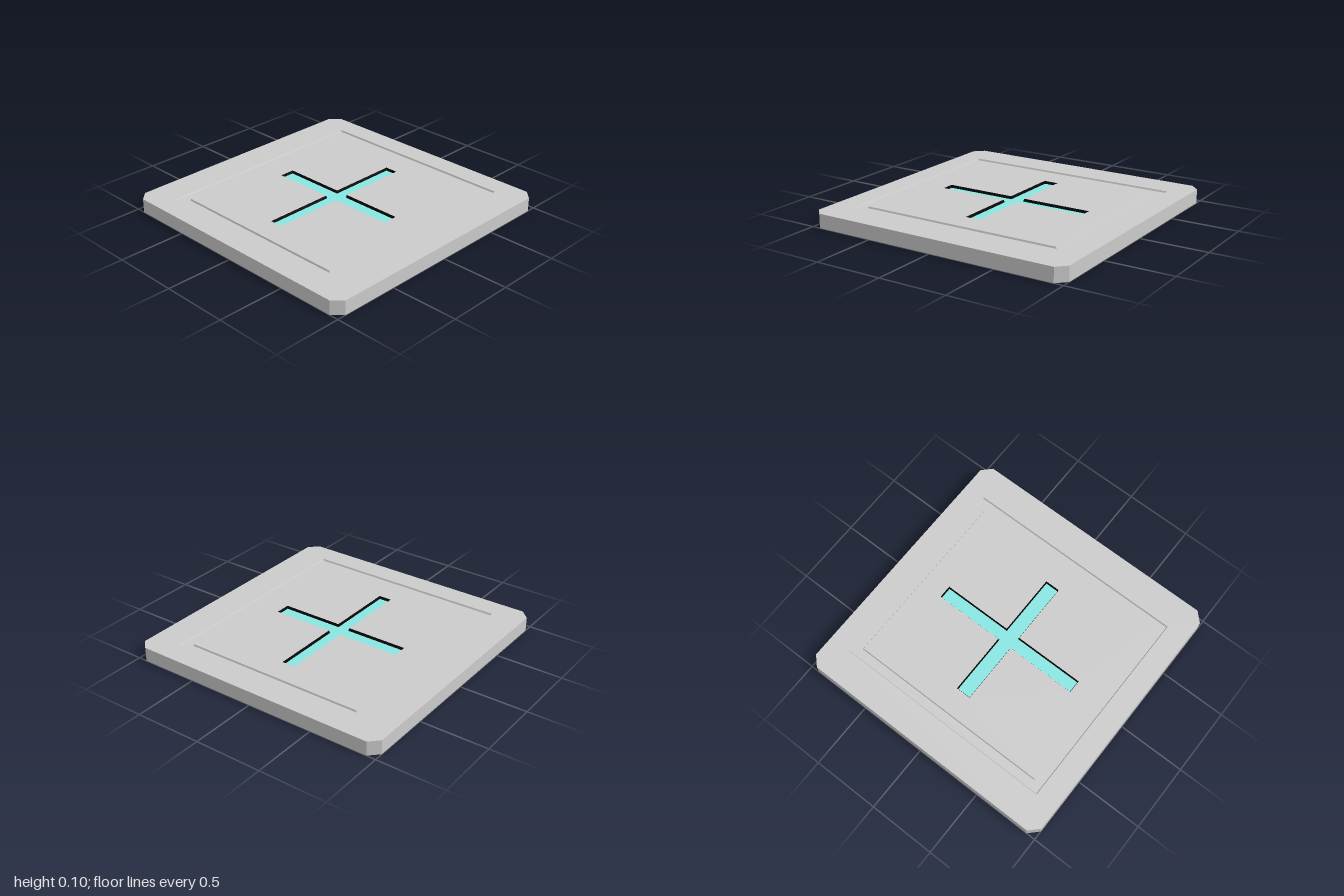
import * as THREE from 'three';
import { mergeGeometries } from 'three/addons/utils/BufferGeometryUtils.js';

const HEIGHT = 0.105, CHANNEL_DEPTH = 0.012, CROSS_DEPTH = 0.02;
const OFFSET = 0.003; // panel and cross sit slightly towards the back

// Outlines run counter-clockwise, with +y of the outline pointing to the back
const points = (list, dy = 0) => list.map(([x, y]) => new THREE.Vector2(x, y + dy));
const rectangle = (w, h) => points([[w, -h], [w, h], [-w, h], [-w, -h]], OFFSET);

function octagon(r, c) {
  const k = r - c;
  return points([[r, -k], [r, k], [k, r], [-k, r], [-r, k], [-r, -k], [-k, -r], [k, -r]]);
}

function crossOutline(inset) {
  const w = 0.049 - inset, h = 0.056 - inset, lx = 0.514 - inset, ly = 0.583 - inset;
  return points([
    [lx, -h], [lx, h], [w, h], [w, ly], [-w, ly], [-w, h],
    [-lx, h], [-lx, -h], [-w, -h], [-w, -ly], [w, -ly], [w, -h],
  ], OFFSET);
}

// Flat face at a height, with an optional hole
function face(outline, y, hole) {
  const shape = new THREE.Shape(outline);
  if (hole) shape.holes.push(new THREE.Path(hole));
  const g = new THREE.ShapeGeometry(shape).toNonIndexed();
  g.deleteAttribute('uv');
  return g.rotateX(-Math.PI / 2).translate(0, y, 0);
}

// Flat-sided band joining two outlines at two heights
function band(a, ya, b, yb) {
  const pos = [];
  const n = a.length;
  for (let i = 0; i < n; i++) {
    const j = (i + 1) % n;
    const quad = [[a[i], ya], [a[j], ya], [b[j], yb], [b[i], yb]];
    for (const k of [0, 1, 2, 0, 2, 3]) pos.push(quad[k][0].x, quad[k][1], -quad[k][0].y);
  }
  const g = new THREE.BufferGeometry();
  g.setAttribute('position', new THREE.Float32BufferAttribute(pos, 3));
  g.computeVertexNormals();
  return g;
}

function mesh(name, geometry, color) {
  const m = new THREE.Mesh(geometry, new THREE.MeshStandardMaterial({ color }));
  m.name = name;
  return m;
}

// One broad face: rim, sunken channel, centre panel and inlaid cross
function createFace(name) {
  const half = HEIGHT / 2;
  const floor = half - CHANNEL_DEPTH;
  const edge = octagon(1, 0.068);
  const rim = rectangle(0.768, 0.838), floorOuter = rectangle(0.762, 0.832);
  const floorInner = rectangle(0.696, 0.766), panel = rectangle(0.691, 0.761);
  const cut = crossOutline(0), inlay = crossOutline(0.006);

  const group = new THREE.Group();
  group.name = name;
  group.add(
    mesh('rim', face(edge, half, rim), 0xcccccc),
    mesh('channel', mergeGeometries([
      band(rim, half, floorOuter, floor),
      face(floorOuter, floor, floorInner),
      band(floorInner, floor, panel, half),
    ]), 0xcccccc),
    mesh('centrePanel', face(panel, half, cut), 0xcccccc),
    mesh('crossWalls', band(cut, half, inlay, half - CROSS_DEPTH), 0x050505),
    mesh('crossInlay', face(inlay, half - CROSS_DEPTH), 0x88e6e2),
  );
  group.position.y = half;
  return group;
}

export function createModel() {
  const model = new THREE.Group();
  model.name = 'floorTile';

  // Outer sides with clipped corners
  const edge = octagon(1, 0.068);
  model.add(mesh('sides', band(edge, 0, edge, HEIGHT), 0xcccccc));

  // The underside repeats the top face
  const top = createFace('topFace');
  const bottom = createFace('bottomFace');
  bottom.rotation.z = Math.PI;
  model.add(top, bottom);
  return model;
}
